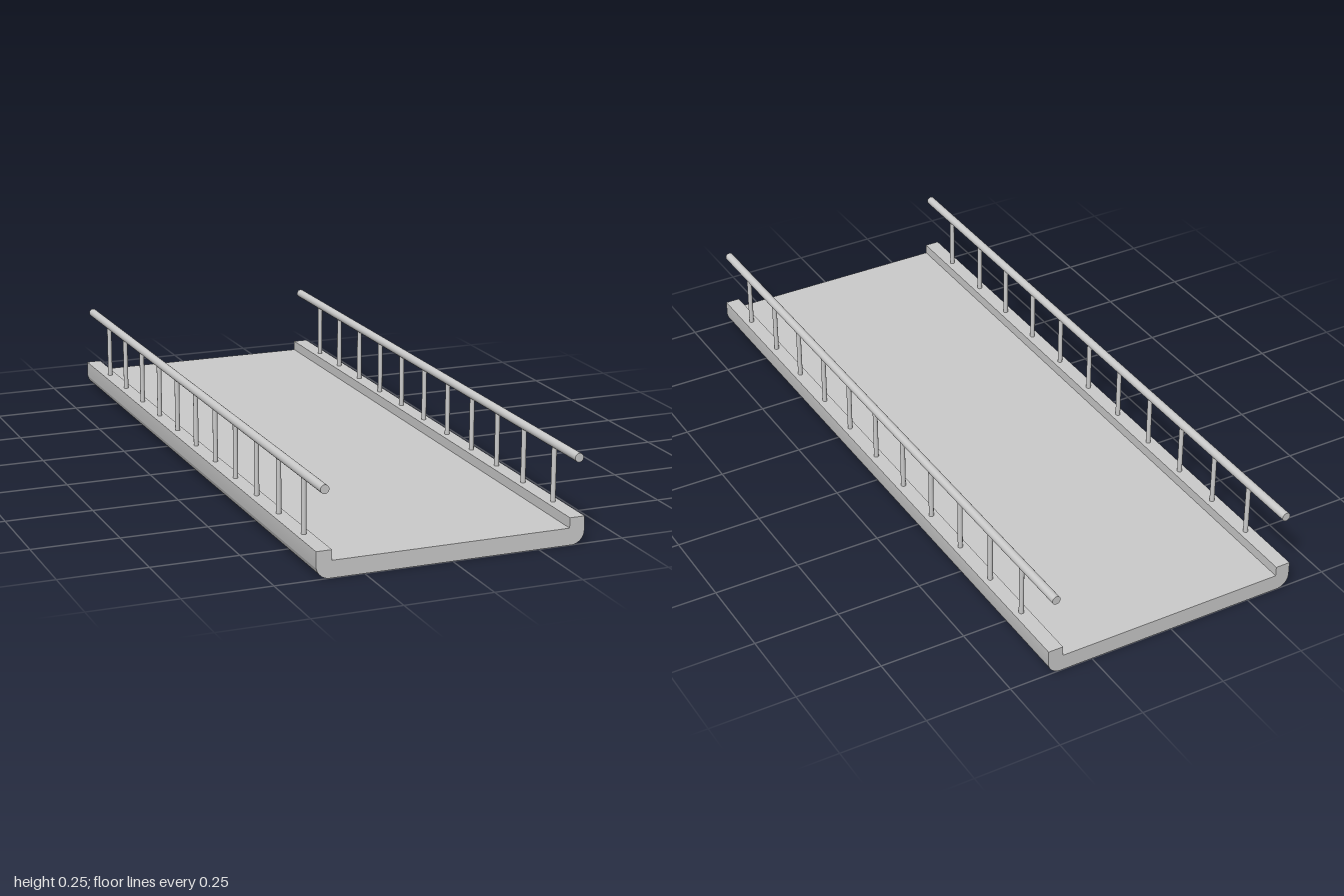
import * as THREE from 'three';
import { toCreasedNormals } from 'three/addons/utils/BufferGeometryUtils.js';

const material = new THREE.MeshStandardMaterial({ color: 0xcccccc });

function addMesh(parent, name, geometry, x = 0, y = 0, z = 0) {
  const mesh = new THREE.Mesh(geometry, material);
  mesh.name = name;
  mesh.position.set(x, y, z);
  parent.add(mesh);
  return mesh;
}

// Deck with raised kerbs and rounded lower edges, extruded along z
function deckGeometry() {
  const w = 0.385, inner = 0.341, kerbTop = 0.077, deckTop = 0.048, r = 0.038;
  const s = new THREE.Shape();
  s.moveTo(-w + r, 0);
  s.lineTo(w - r, 0);
  s.absarc(w - r, r, r, -Math.PI / 2, 0, false);
  s.lineTo(w, kerbTop);
  s.lineTo(inner, kerbTop);
  s.lineTo(inner, deckTop);
  s.lineTo(-inner, deckTop);
  s.lineTo(-inner, kerbTop);
  s.lineTo(-w, kerbTop);
  s.lineTo(-w, r);
  s.absarc(-w + r, r, r, Math.PI, Math.PI * 1.5, false);
  const g = new THREE.ExtrudeGeometry(s, { depth: 2, bevelEnabled: false, curveSegments: 14 });
  g.translate(0, 0, -1);
  return toCreasedNormals(g, 0.5);
}

export function createModel() {
  const model = new THREE.Group();
  model.name = 'bridge';
  addMesh(model, 'deck', deckGeometry());

  const railY = 0.241, kerbTop = 0.077;
  const railGeometry = new THREE.CylinderGeometry(0.0125, 0.0125, 2, 24).rotateX(Math.PI / 2);
  const postGeometry = new THREE.CylinderGeometry(0.007, 0.007, railY - kerbTop, 16);

  // The post nearest the front is set slightly wider than the even run behind it
  const postZ = [0.858];
  for (let i = 0; i < 10; i++) postZ.push(0.677 - i * 0.1665);

  for (const [side, railX, postX] of [['left', 0.364, 0.363], ['right', -0.361, -0.362]]) {
    const railing = new THREE.Group();
    railing.name = side + 'Railing';
    model.add(railing);
    addMesh(railing, 'handrail', railGeometry, railX, railY, 0);
    for (const z of postZ) addMesh(railing, 'post', postGeometry, postX, (railY + kerbTop) / 2, z);
  }
  return model;
}
